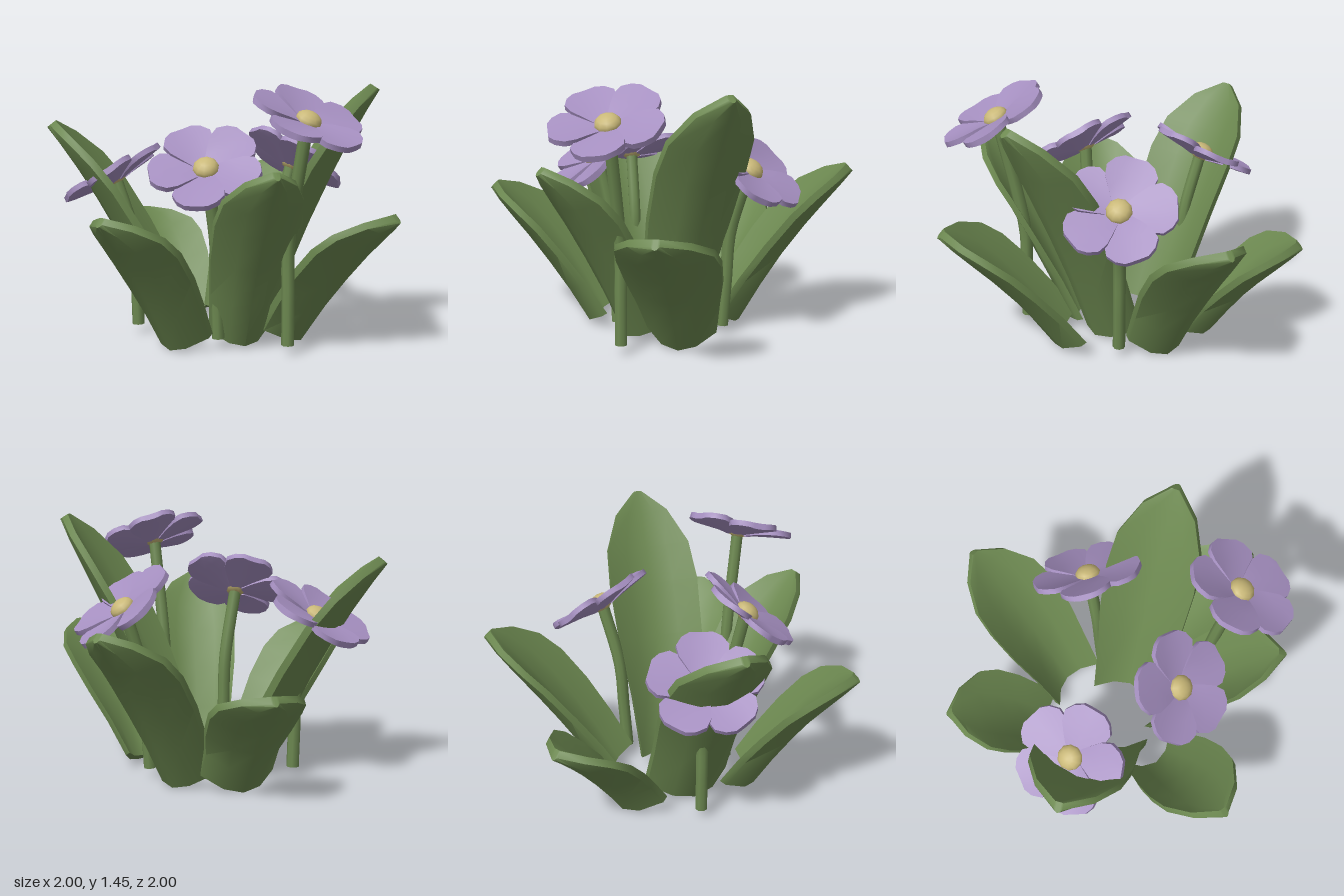
import * as THREE from 'three';
import { toCreasedNormals } from 'three/addons/utils/BufferGeometryUtils.js';

const mat = (name, color) => {
  const m = new THREE.MeshStandardMaterial({ color });
  m.name = name;
  return m;
};

const V = (x, y, z) => new THREE.Vector3(x, y, z);

// Cupped blade lofted along a curve; profile is a list of [t, width, cup depth],
// thickest along the middle and thinner at the rim
function blade(curve, profile, middle, rim) {
  const across = [-1, -0.5, 0, 0.5, 1];
  const a = curve.getPoint(0), b = curve.getPoint(1);
  const out = V(b.x - a.x, 0, b.z - a.z).normalize();
  const side = V(0, 1, 0).cross(out);
  const pos = [], index = [];
  const n = across.length * 2;
  const half = u => THREE.MathUtils.lerp(middle, rim, u * u) / 2;
  for (const [t, w, cup] of profile) {
    const p = curve.getPoint(t);
    const normal = curve.getTangent(t).cross(side);
    const ring = [...across.map(u => [u, -half(u)]), ...across.map(u => [-u, half(u)])];
    for (const [u, h] of ring) {
      const q = p.clone().addScaledVector(side, u * w / 2).addScaledVector(normal, h + cup * u * u);
      pos.push(q.x, q.y, q.z);
    }
  }
  const last = (profile.length - 1) * n;
  for (let i = 0; i < last; i += n) {
    for (let j = 0; j < n; j++) {
      const k = (j + 1) % n;
      index.push(i + j, i + k, i + n + k, i + j, i + n + k, i + n + j);
    }
  }
  // end caps, as strips between the outer and inner rows
  for (let j = 0; j < across.length - 1; j++) {
    const k = j + 1, jj = n - 1 - j, kk = n - 1 - k;
    index.push(j, kk, k, j, jj, kk);
    index.push(last + j, last + k, last + kk, last + j, last + kk, last + jj);
  }
  const g = new THREE.BufferGeometry();
  g.setAttribute('position', new THREE.Float32BufferAttribute(pos, 3));
  g.setIndex(index);
  return toCreasedNormals(g, 0.8);
}

// Base and tip of each leaf, full width, and share of the width kept at the base
const LEAVES = [
  { base: V(0.13, 0.025, -0.50), tip: V(0.28, 0.60, -0.98), width: 0.50, foot: 0.82 },
  { base: V(0.38, 0.025, -0.23), tip: V(0.98, 0.91, -0.47), width: 0.50, foot: 0.72 },
  { base: V(-0.41, 0.025, 0.02), tip: V(-0.98, 0.79, 0.10), width: 0.50, foot: 0.70 },
  { base: V(-0.17, 0.03, -0.24), tip: V(-0.65, 1.22, -0.71), width: 0.55, foot: 0.88 },
  { base: V(0.23, 0.025, 0.36), tip: V(0.31, 0.76, 0.98), width: 0.55, foot: 0.70 },
  { base: V(-0.09, 0.03, 0.25), tip: V(-0.39, 1.03, 0.76), width: 0.47, foot: 0.70 },
  { base: V(0.16, 0.03, 0.13), tip: V(0.58, 1.43, 0.61), width: 0.52, foot: 0.75 },
];
// Position along the leaf, share of its width, depth of the cup
const LEAF_PROFILE = [
  [0, 0.64, 0.13], [0.2, 0.82, 0.13], [0.4, 0.95, 0.125], [0.6, 1, 0.115],
  [0.75, 0.93, 0.09], [0.9, 0.58, 0.045], [1, 0.08, 0.01],
];

// Stem foot and bend, flower centre, facing direction and turn of the first petal
const FLOWERS = [
  { foot: V(-0.04, 0.06, 0.53), bend: V(-0.04, 0.6, 0.53), head: V(-0.05, 1.265, 0.66), face: V(0, 0.88, 0.47), turn: 83 },
  { foot: V(-0.20, 0.06, 0.16), bend: V(-0.22, 0.6, 0.16), head: V(-0.30, 1.0, 0.17), face: V(-0.5, 0.77, 0.39), turn: 73 },
  { foot: V(0.38, 0.06, 0.03), bend: V(0.42, 0.6, 0.03), head: V(0.525, 0.95, 0.04), face: V(0.63, 0.77, 0.1), turn: -85 },
  { foot: V(-0.29, 0.06, -0.40), bend: V(-0.30, 0.55, -0.41), head: V(-0.355, 0.9, -0.505), face: V(-0.24, 0.84, -0.45), turn: -12 },
];
const PETAL_PROFILE = [
  [0, 0.09, 0], [0.25, 0.18, 0.01], [0.5, 0.26, 0.014], [0.72, 0.28, 0.014], [0.9, 0.215, 0.01], [1, 0.125, 0.005],
];

export function createModel() {
  const model = new THREE.Group();
  model.name = 'floweringPlant';
  const green = mat('leafGreen', 0x6c8850);
  const purple = mat('petalPurple', 0xa58fc0);
  const yellow = mat('centreYellow', 0xc9b878);

  const add = (parent, name, geometry, material) => {
    const m = new THREE.Mesh(geometry, material);
    m.name = name;
    parent.add(m);
    return m;
  };

  // Leaves arching outward
  for (const { base, tip, width, foot } of LEAVES) {
    const ctrl = V(
      THREE.MathUtils.lerp(base.x, tip.x, 0.48),
      THREE.MathUtils.lerp(base.y, tip.y, 0.62),
      THREE.MathUtils.lerp(base.z, tip.z, 0.48),
    );
    const curve = new THREE.QuadraticBezierCurve3(base, ctrl, tip);
    const profile = LEAF_PROFILE.map(([t, w, cup]) => [t, width * (t < 0.3 ? Math.max(w, foot) : w), cup]);
    add(model, 'leaf', blade(curve, profile, 0.062, 0.04), green);
  }

  // Petal shared by all flowers, pointing along +x and rising slightly
  const petalCurve = new THREE.QuadraticBezierCurve3(V(0.035, 0, 0), V(0.17, 0.022, 0), V(0.305, 0.036, 0));
  const petal = blade(petalCurve, PETAL_PROFILE, 0.034, 0.03);
  const centre = new THREE.SphereGeometry(0.072, 10, 8).scale(1, 0.7, 1);

  for (const { foot, bend, head, face, turn } of FLOWERS) {
    // Stem with a closed foot
    const path = new THREE.CatmullRomCurve3([foot, foot.clone().lerp(bend, 0.5), bend, head]);
    add(model, 'stem', new THREE.TubeGeometry(path, 12, 0.035, 8), green);
    const cap = add(model, 'stemFoot', new THREE.CircleGeometry(0.035, 8), green);
    cap.rotation.x = Math.PI / 2;
    cap.position.copy(foot);

    // Flower head
    const flower = new THREE.Group();
    flower.name = 'flower';
    flower.position.copy(head);
    flower.quaternion.setFromUnitVectors(V(0, 1, 0), face.clone().normalize());
    model.add(flower);
    for (let i = 0; i < 5; i++) {
      const p = add(flower, 'petal', petal, purple);
      p.rotation.order = 'YXZ';
      p.rotation.y = -THREE.MathUtils.degToRad(turn + i * 72);
      p.rotation.x = 0.07;
    }
    add(flower, 'flowerCentre', centre, yellow).position.y = 0.02;
  }
  return model;
}
